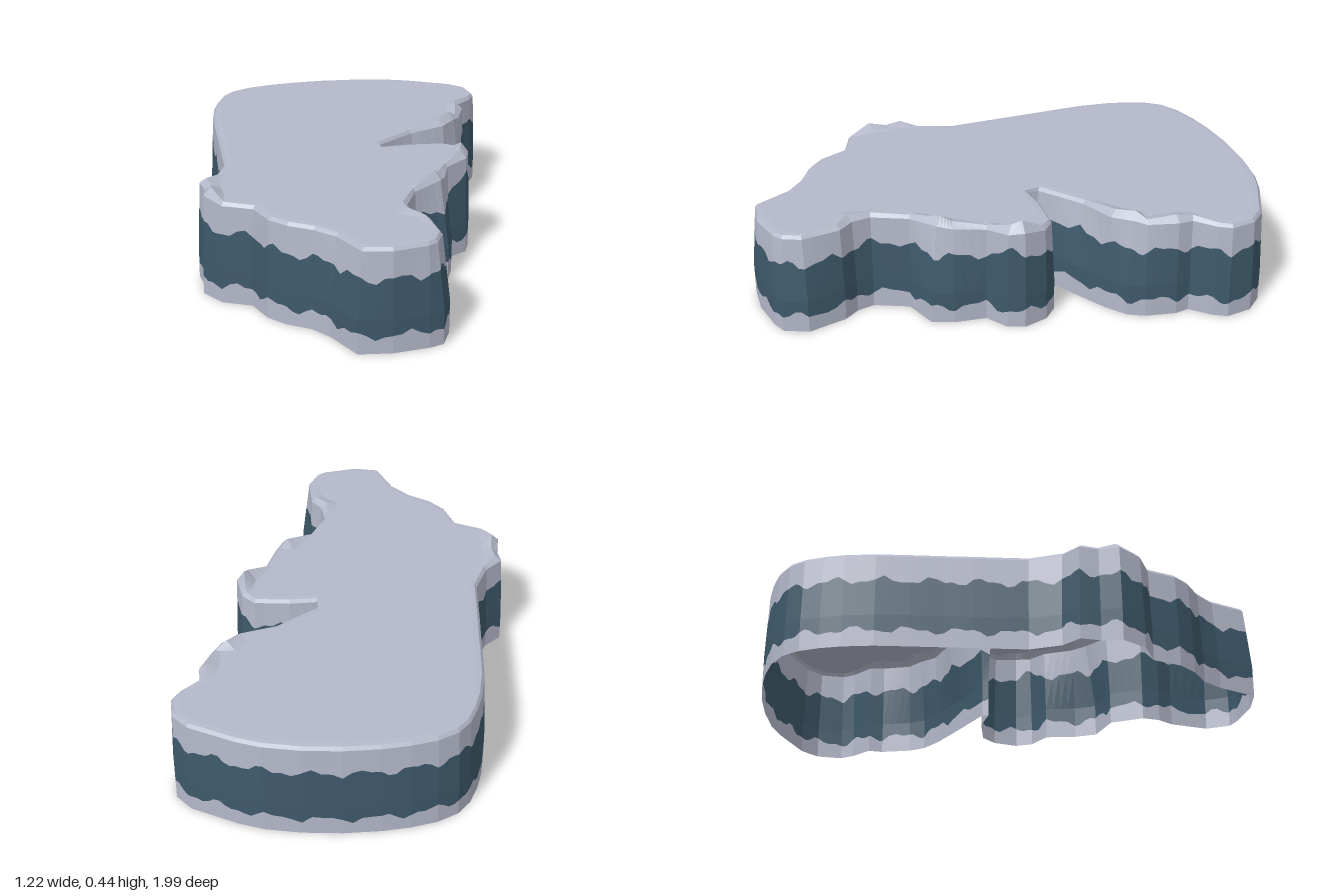
import * as THREE from 'three';

const TOP = 0.4, SUB = 4;

// Smooth shore (left and back), as spline knots in x, z
const SHORE = [
  [-0.37, 0.25], [-0.48, -0.05], [-0.6, -0.42], [-0.585, -0.66], [-0.35, -0.85], [0.06, -0.99], [0.36, -0.98],
];
// Jagged coast (right and front), corner by corner
const COAST = [
  [0.44, -0.94], [0.49, -0.85], [0.48, -0.79], [0.44, -0.7], [0.47, -0.65], [0.49, -0.53], [0.48, -0.46],
  [0.43, -0.38], [0.33, -0.26], [0.2, -0.11], [0.205, -0.085], [0.3, -0.145], [0.44, -0.18],
  [0.51, -0.15], [0.57, -0.07], [0.57, 0], [0.51, 0.08], [0.54, 0.2], [0.54, 0.29], [0.43, 0.38],
  [0.42, 0.52], [0.46, 0.58], [0.52, 0.62], [0.61, 0.75], [0.605, 0.85], [0.56, 0.89], [0.44, 0.96],
];
const FRONT = [
  [0.32, 0.995], [0.2, 0.88], [0.12, 0.83], [0.02, 0.81], [-0.06, 0.77], [-0.14, 0.68],
  [-0.26, 0.675], [-0.35, 0.61], [-0.37, 0.53], [-0.41, 0.46], [-0.37, 0.38],
];
// Rocks on the rim: x, z, height
const ROCKS = [
  [0.47, -0.63, 0.02], [0.46, -0.43, 0.035], [0.55, -0.05, 0.055], [0.54, 0.27, 0.035],
  [0.47, 0.59, 0.015], [-0.36, 0.6, 0.03], [-0.41, 0.47, 0.015],
];
// Places where the wall leans inwards: x, z, amount
const LEANS = [
  [0.45, -0.48, 0.03], [0.3, -0.25, 0.04], [0.54, 0.27, 0.04], [0.61, 0.8, 0.03], [0.26, 0.94, 0.03],
];

// Sum or maximum-friendly bell of influence around a spot
const bell = (x, z, spot, radius) =>
  spot[2] * Math.exp(-((x - spot[0]) ** 2 + (z - spot[1]) ** 2) / radius ** 2);
const strongest = (x, z, spots, radius) => Math.max(...spots.map(s => bell(x, z, s, radius)));

function outline() {
  const curve = new THREE.CatmullRomCurve3(SHORE.map(([x, z]) => new THREE.Vector3(x, 0, z)));
  return [...curve.getPoints(18), ...[...COAST, ...FRONT].map(([x, z]) => new THREE.Vector3(x, 0, z))];
}

// For each outline point: base, shoulder, rim crest and inner rim
function cornerSections() {
  const line = outline(), n = line.length;
  return line.map((base, i) => {
    const t = line[(i + 1) % n].clone().sub(line[(i + n - 1) % n]).normalize();
    const rock = strongest(base.x, base.z, ROCKS, 0.07);
    const lean = strongest(base.x, base.z, LEANS, 0.1);
    const bulk = Math.min(1, rock / 0.015);
    const inset = (d, y) => new THREE.Vector3(base.x - t.z * (d + lean), y, base.z + t.x * (d + lean));
    return {
      base,
      shoulder: inset(0.01, 0.385 + rock * 0.4),
      crest: inset(0.02 + 0.02 * bulk, TOP - 0.002 + rock),
      inner: inset(0.04 + 0.045 * bulk, TOP),
    };
  });
}

// Rings of the shell from the ground up; the two paint lines wander along the wall
function buildRings() {
  const corners = cornerSections();
  const rings = Array.from({ length: 7 }, () => []);
  let s = 0;
  corners.forEach((a, i) => {
    const b = corners[(i + 1) % corners.length];
    for (let k = 0; k < SUB; k++) {
      const mix = key => a[key].clone().lerp(b[key], k / SUB);
      const base = mix('base'), shoulder = mix('shoulder');
      const at = y => {
        const f = Math.max(0, (y - 0.13) / (shoulder.y - 0.13));
        return base.clone().lerp(shoulder, f).setY(y);
      };
      const low = 0.068 + 0.012 * Math.sin(s * 31) + 0.008 * Math.sin(s * 67 + 1);
      const lift = bell(base.x, base.z, [0.57, -0.03, 0.06], 0.063);
      const high = 0.28 + 0.013 * Math.sin(s * 33 + 2) + 0.008 * Math.sin(s * 71) + lift;
      [base, at(low), at(0.13), at(high), shoulder, mix('crest'), mix('inner')]
        .forEach((v, r) => rings[r].push(v));
      s += a.base.distanceTo(b.base) / SUB;
    }
  });
  return rings;
}

// Strip of quads between consecutive rings
function skin(rings) {
  const pts = [];
  for (let r = 0; r < rings.length - 1; r++) {
    const lo = rings[r], hi = rings[r + 1], n = lo.length;
    for (let i = 0; i < n; i++) {
      const j = (i + 1) % n;
      pts.push(lo[i], hi[i], hi[j], lo[i], hi[j], lo[j]);
    }
  }
  return toGeometry(pts);
}

// Flat top closing the innermost ring
function cap(ring) {
  const flat = ring.map(v => new THREE.Vector2(v.x, v.z));
  const pts = [];
  for (const [a, b, c] of THREE.ShapeUtils.triangulateShape(flat, [])) {
    const up = THREE.ShapeUtils.area([flat[a], flat[b], flat[c]]) < 0;
    pts.push(ring[a], ring[up ? b : c], ring[up ? c : b]);
  }
  return toGeometry(pts);
}

function toGeometry(pts) {
  const g = new THREE.BufferGeometry().setFromPoints(pts);
  g.computeVertexNormals();
  return g;
}

export function createModel() {
  const group = new THREE.Group();
  group.name = 'rockPlateau';
  const material = (name, color) => {
    const m = new THREE.MeshStandardMaterial({ color, side: THREE.DoubleSide, flatShading: true });
    m.name = name;
    return m;
  };
  const stone = material('paleStone', 0xb4b8c9);
  const slate = material('blueSlate', 0x3e596b);
  const add = (name, geometry, mat) => {
    const mesh = new THREE.Mesh(geometry, mat);
    mesh.name = name;
    group.add(mesh);
  };

  // Open-bottomed shell, band by band
  const rings = buildRings();
  add('footBand', skin(rings.slice(0, 2)), stone);
  add('slateBand', skin(rings.slice(1, 4)), slate);
  add('upperWall', skin(rings.slice(3, 5)), stone);
  add('rockyRim', skin(rings.slice(4, 7)), stone);
  add('plateauTop', cap(rings[6]), stone);
  return group;
}
